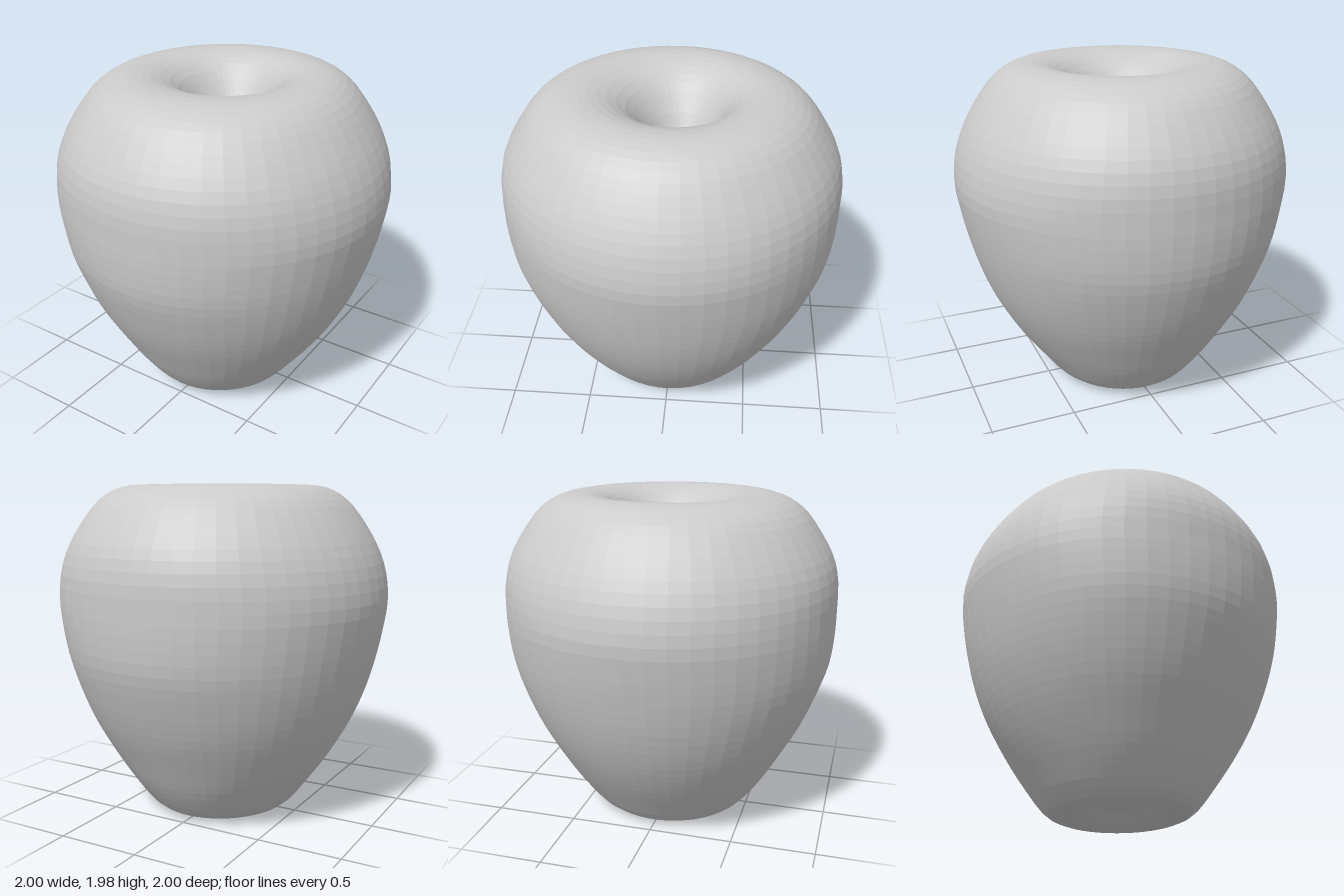
import * as THREE from 'three';

// Half-section from the base hollow, up the side, over the shoulder and into the
// stem hollow: [half-width in x, height, half-width in z]
const SECTION = [
  [0, 0.11, 0], [0.12, 0.085, 0.12], [0.24, 0.025, 0.24], [0.34, 0.005, 0.36],
  [0.43, 0.04, 0.46], [0.56, 0.2, 0.595], [0.7, 0.4, 0.715], [0.81, 0.6, 0.825],
  [0.89, 0.8, 0.91], [0.945, 1.0, 0.975], [0.985, 1.2, 0.998], [1.0, 1.32, 1.0],
  [0.98, 1.48, 0.997], [0.93, 1.62, 0.965], [0.83, 1.79, 0.87], [0.74, 1.9, 0.78],
  [0.64, 1.965, 0.67], [0.52, 1.988, 0.53], [0.4, 1.965, 0.4], [0.3, 1.9, 0.3],
  [0.2, 1.77, 0.2], [0.1, 1.61, 0.1], [0, 1.54, 0],
];
const SIDES = 52;
const ROWS = 60;

function fruitGeometry() {
  const curve = new THREE.CatmullRomCurve3(SECTION.map((p) => new THREE.Vector3(...p)));
  const rings = curve.getSpacedPoints(ROWS);
  const geometry = new THREE.LatheGeometry(rings.map((p) => new THREE.Vector2(p.x, p.y)), SIDES);
  const pos = geometry.attributes.position;
  for (let i = 0; i <= SIDES; i++) {
    const a = (i / SIDES) * Math.PI * 2;
    for (let j = 0; j <= ROWS; j++) {
      const p = rings[j];
      // The stem hollow leans slightly to the back
      const inner = j > ROWS / 2 ? THREE.MathUtils.smoothstep(0.55 - p.x, 0, 0.5) : 0;
      pos.setXYZ(
        i * (ROWS + 1) + j,
        Math.max(p.x, 0) * Math.sin(a) + 0.02 * inner,
        p.y,
        Math.max(p.z, 0) * Math.cos(a) - 0.06 * inner,
      );
    }
  }
  geometry.computeVertexNormals();
  return geometry;
}

export function createModel() {
  const model = new THREE.Group();
  model.name = 'apple';
  const material = new THREE.MeshStandardMaterial({ color: 0xcccccc, flatShading: true });
  const fruit = new THREE.Mesh(fruitGeometry(), material);
  fruit.name = 'fruit';
  model.add(fruit);
  return model;
}
